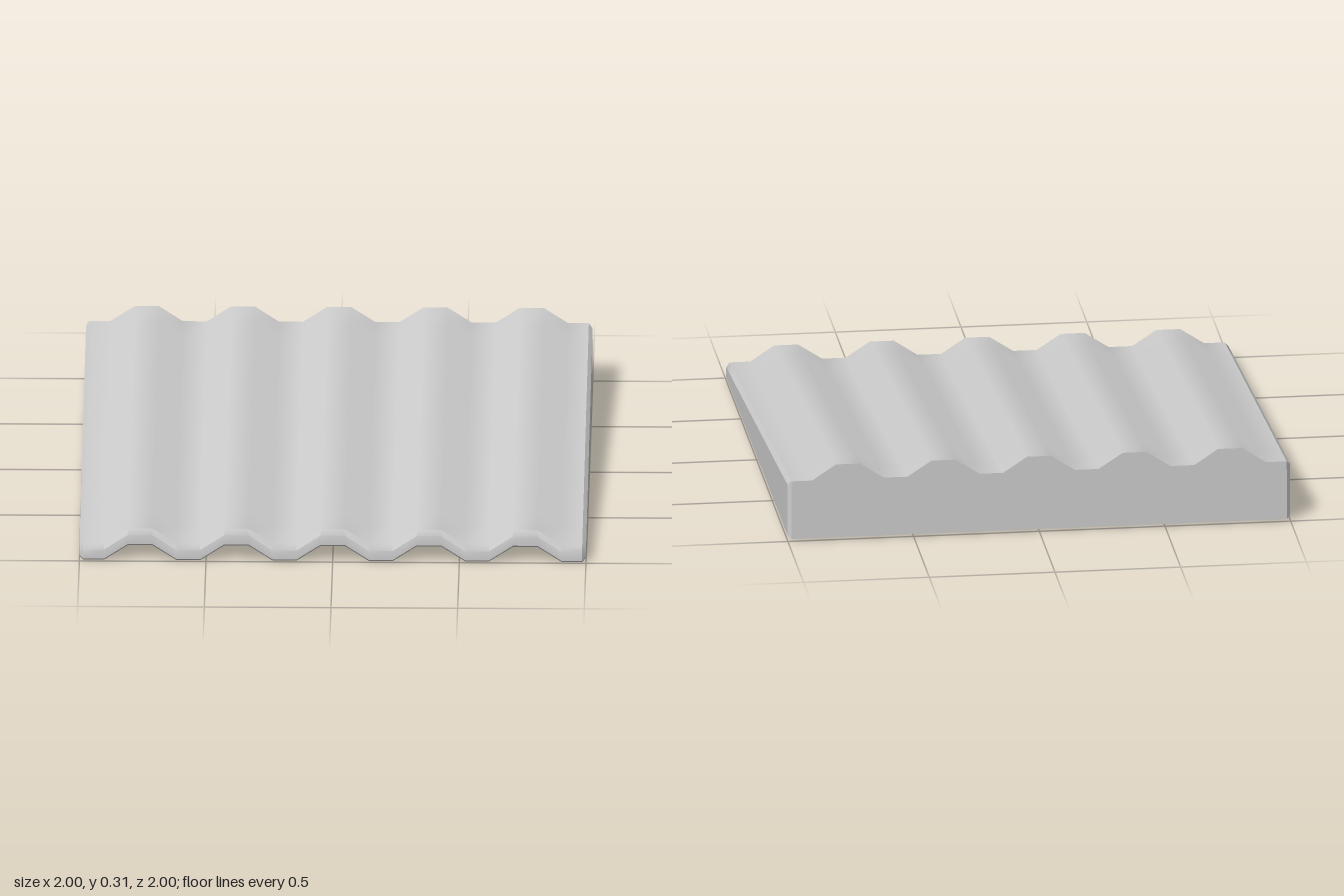
import * as THREE from 'three';
import { toCreasedNormals } from 'three/addons/utils/BufferGeometryUtils.js';

const BEVEL = 0.015, RIDGE = 0.063;

// Columns across the width: bevelled sides, then the corners of five ridges
const xs = [-1, -0.985];
for (let i = -2; i <= 2; i++) {
  const c = i * 0.38;
  xs.push(c - 0.143, c - 0.048, c + 0.048, c + 0.143);
}
xs.push(0.985, 1);

// Trapezoid wave: 1 on a ridge, 0 in a valley
function wave(x) {
  if (Math.abs(x) > 0.9) return 0;
  const d = Math.abs(x - Math.round(x / 0.38) * 0.38);
  return THREE.MathUtils.clamp((0.143 - d) / 0.095, 0, 1);
}

// One cross-section: a top and a bottom point for every column
function section(z, topInset, bottomInset, topShift) {
  const slope = 0.07 + ((0.985 - z) / 1.985) * 0.178;
  const fade = (z + 1) / 2; // underside ridges flatten out towards the back
  return xs.map((x) => {
    const side = Math.abs(x) === 1 ? BEVEL : 0;
    const zz = z - Math.sign(z) * (Math.abs(z) > 0.97 ? side : 0);
    const top = slope + RIDGE * wave(x) - topInset - side;
    const bottom = 0.01 * (1 - fade) + RIDGE * wave(x) * fade + bottomInset + side * 0.8;
    return { top: [x, top, zz + topShift], bottom: [x, bottom, zz] };
  });
}

function wedgeGeometry() {
  const sections = [section(1, 0.02, 0.01, 0), section(0.985, 0, 0, 0)];
  const steps = 12;
  for (let i = 1; i < steps; i++) sections.push(section(0.985 - (1.985 * i) / steps, 0, 0, 0));
  sections.push(section(-1, 0, 0, 0.007));

  const pos = [];
  const quad = (a, b, c, d) => pos.push(...a, ...b, ...c, ...a, ...c, ...d);
  const n = xs.length - 1;
  for (let s = 0; s < sections.length - 1; s++) {
    const f = sections[s], b = sections[s + 1];
    for (let i = 0; i < n; i++) {
      quad(f[i].top, f[i + 1].top, b[i + 1].top, b[i].top);
      quad(f[i].bottom, b[i].bottom, b[i + 1].bottom, f[i + 1].bottom);
    }
    // side walls
    quad(f[0].bottom, f[0].top, b[0].top, b[0].bottom);
    quad(f[n].bottom, b[n].bottom, b[n].top, f[n].top);
  }
  // front and back end faces
  const front = sections[0], back = sections[sections.length - 1];
  for (let i = 0; i < n; i++) {
    quad(front[i].bottom, front[i + 1].bottom, front[i + 1].top, front[i].top);
    quad(back[i].bottom, back[i].top, back[i + 1].top, back[i + 1].bottom);
  }
  const geo = new THREE.BufferGeometry();
  geo.setAttribute('position', new THREE.Float32BufferAttribute(pos, 3));
  return toCreasedNormals(geo, 0.62);
}

export function createModel() {
  const group = new THREE.Group();
  group.name = 'corrugatedRoof';
  const panel = new THREE.Mesh(wedgeGeometry(), new THREE.MeshStandardMaterial({ color: 0xcccccc }));
  panel.name = 'roofPanel';
  group.add(panel);
  return group;
}
